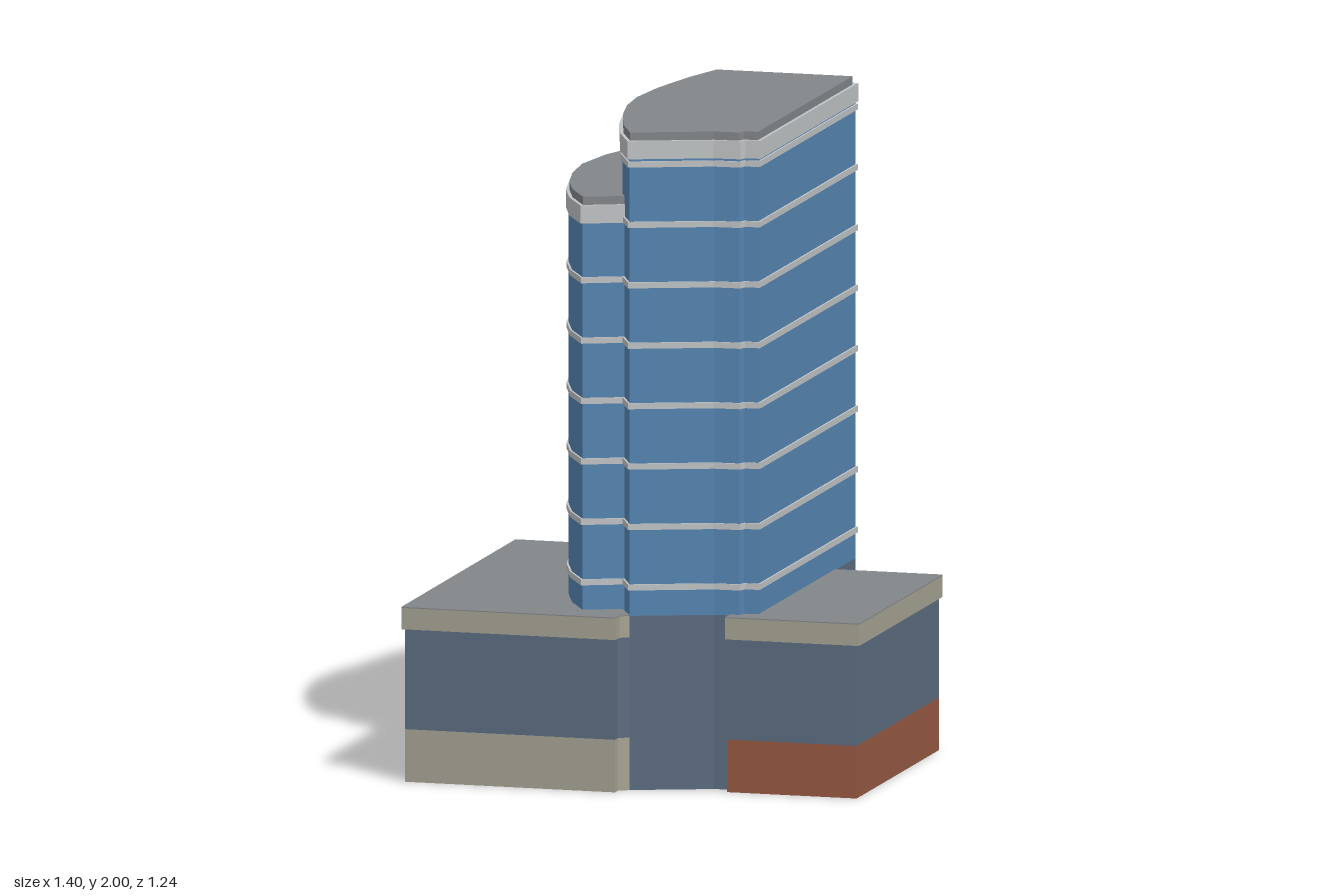
import * as THREE from 'three';

const mat = (name, color) => {
  const m = new THREE.MeshStandardMaterial({ color });
  m.name = name;
  return m;
};

// Plan outlines as [x, z], running back-left -> front -> right -> back
const highCurve = [[-0.07, -0.61], [-0.115, -0.43], [-0.153, -0.225], [-0.167, -0.05],
  [-0.156, 0.095], [-0.125, 0.245], [-0.07, 0.43]];
const highFront = [[-0.008, 0.565], [0.235, 0.475], [0.318, 0.47], [0.326, 0.447], [0.372, 0.444], [0.372, -0.61]];
const lowCurve = [[-0.18, -0.61], [-0.255, -0.41], [-0.315, -0.225], [-0.338, -0.05],
  [-0.322, 0.11], [-0.29, 0.255], [-0.24, 0.39], [-0.168, 0.518]];
const highPlan = [...highCurve, ...highFront];
const lowPlan = [...lowCurve, [-0.03, 0.459], [-0.04, 0.3], [-0.07, -0.05], [-0.06, -0.61]];
const corePlan = [...lowCurve, [-0.058, 0.471], ...highFront];

// Mitred inward offset of an outline
function inset(pts, d) {
  const n = pts.length;
  const normal = (a, b) => {
    const dx = b[0] - a[0], dz = b[1] - a[1], l = Math.hypot(dx, dz);
    return [dz / l, -dx / l];
  };
  return pts.map((p, i) => {
    const u = normal(pts[(i + n - 1) % n], p), v = normal(p, pts[(i + 1) % n]);
    const k = d / (1 + u[0] * v[0] + u[1] * v[1]);
    return [p[0] + (u[0] + v[0]) * k, p[1] + (u[1] + v[1]) * k];
  });
}

// Upright prism over a plan outline between two heights
function prism(name, pts, y0, y1, material) {
  const shape = new THREE.Shape(pts.map(([x, z]) => new THREE.Vector2(x, -z)));
  const geo = new THREE.ExtrudeGeometry(shape, { depth: y1 - y0, bevelEnabled: false });
  geo.rotateX(-Math.PI / 2);
  geo.translate(0, y0, 0);
  const mesh = new THREE.Mesh(geo, material);
  mesh.name = name;
  return mesh;
}

export function createModel() {
  const glass = mat('blue glass', 0x5585b2);
  const band = mat('pale grey trim', 0xc0c3c5);
  const roof = mat('roof grey', 0x838689);
  const slate = mat('slate glass', 0x5c6c80);
  const beige = mat('beige stone', 0xa5a293);
  const brick = mat('red brick', 0x965842);

  const model = new THREE.Group();
  model.name = 'officeTower';

  // Tower volumes: glass shaft, floor bands, parapet and raised roof
  function tower(name, plan, top, floors) {
    const g = new THREE.Group();
    g.name = name;
    g.add(prism('glassShaft', inset(plan, 0.008), 0.53, top, glass));
    for (let i = 0; i < floors; i++) {
      const y = 0.617 + i * 0.1838;
      g.add(prism('floorBand', inset(plan, 0.002), y - 0.009, y + 0.009, band));
    }
    g.add(prism('parapet', plan, top, top + 0.055, band));
    const cap = inset(plan, 0.01).map(([x, z]) => [x, Math.max(z, -0.58)]);
    g.add(prism('roof', cap, top + 0.055, top + 0.08, roof));
    model.add(g);
  }
  tower('highTower', highPlan, 1.92, 8);
  tower('lowTower', lowPlan, 1.709, 6);

  // Core below the towers
  const core = inset(corePlan, 0.008);
  model.add(prism('podiumCore', core, 0, 0.53, slate));

  // Wings wrap around the core; e is the wall setback from the trim
  const leftWing = (e) => [
    [-0.702 + e, -0.62 + e], [-0.7 + e, 0.612 - e], [-0.03 - e / 2, 0.616 - e], [-0.03 - e / 2, 0.576],
    core[9], ...core.slice(0, 9).reverse(), [core[0][0], -0.612 + e],
  ];
  const rightWing = (e) => [
    [0.282 + e / 2, 0.467], [0.282 + e / 2, 0.512 - e / 2], [0.7 - e, 0.512 - e / 2], [0.7 - e, -0.385 + e],
    [core[14][0], -0.385 + e], core[13], core[12], core[11],
  ];
  for (const [name, plan, base] of [['leftWing', leftWing, beige], ['rightWing', rightWing, brick]]) {
    const g = new THREE.Group();
    g.name = name;
    g.add(prism('baseWall', plan(0.009), 0, 0.16, base));
    g.add(prism('windowWall', plan(0.009), 0.16, 0.465, slate));
    g.add(prism('roofTrim', plan(0), 0.465, 0.53, beige));
    g.add(prism('wingRoof', plan(0), 0.53, 0.533, roof));
    model.add(g);
  }
  return model;
}
